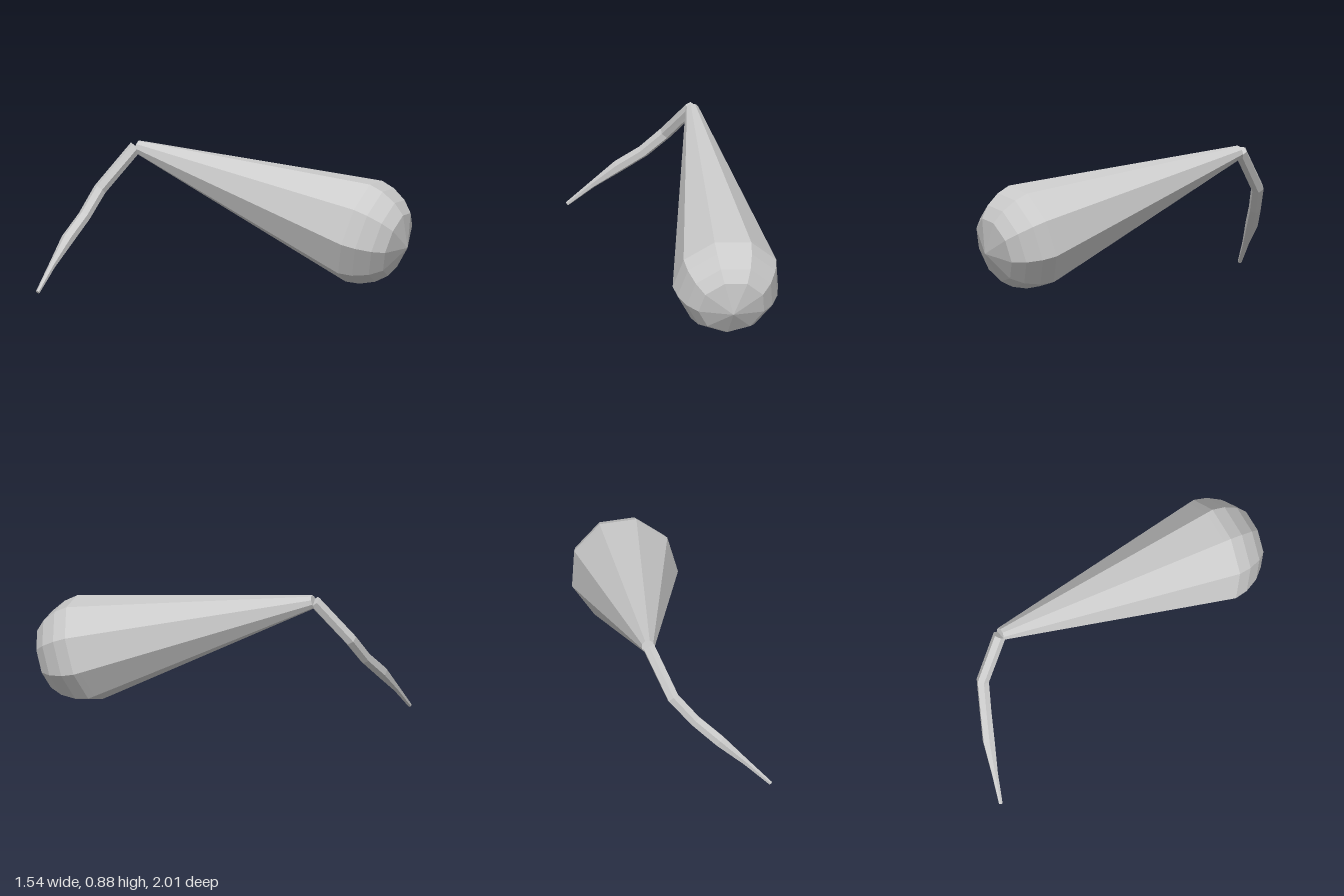
import * as THREE from 'three';

const material = new THREE.MeshStandardMaterial({ color: 0xcccccc, flatShading: true, side: THREE.DoubleSide });

// Nine-sided club: narrow tip widening to a domed end, laid along a slanted axis
function makeBulb() {
  const tip = new THREE.Vector3(0.06, 0.845, -0.77);
  const nose = new THREE.Vector3(0.53, 0.32, 1.0);
  const axis = nose.clone().sub(tip);
  const length = axis.length();
  axis.normalize();
  // [distance behind the nose, radius]
  const profile = [
    [length, 0], [length, 0.042], [0.73, 0.268], [0.37, 0.337], [0.325, 0.345],
    [0.235, 0.327], [0.14, 0.28], [0.07, 0.215], [0, 0],
  ].map(([d, r]) => new THREE.Vector2(r, length - d));
  const geometry = new THREE.LatheGeometry(profile, 9);
  const up = new THREE.Vector3(-0.26, 1, 0);
  up.addScaledVector(axis, -up.dot(axis)).normalize();
  const side = new THREE.Vector3().crossVectors(axis, up);
  geometry.applyMatrix4(new THREE.Matrix4().makeBasis(side, axis, up).setPosition(tip));
  const mesh = new THREE.Mesh(geometry, material);
  mesh.name = 'bulb';
  return mesh;
}

// Six-sided bent stalk, tapering to a point
function makeStalk() {
  const sides = 6;
  // [x, y, z, radius]
  const path = [
    [0.055, 0.845, -0.775, 0.042], [-0.125, 0.58, -0.928, 0.042], [-0.27, 0.43, -0.945, 0.04],
    [-0.43, 0.305, -0.962, 0.041], [-0.6, 0.16, -0.963, 0.022], [-0.757, 0.015, -0.961, 0.013],
  ];
  const points = path.map(([x, y, z]) => new THREE.Vector3(x, y, z));
  const positions = [];
  const indices = [];
  points.forEach((p, i) => {
    const tangent = new THREE.Vector3();
    if (i > 0) tangent.add(p.clone().sub(points[i - 1]).normalize());
    if (i < points.length - 1) tangent.add(points[i + 1].clone().sub(p).normalize());
    tangent.normalize();
    const n = new THREE.Vector3().crossVectors(new THREE.Vector3(0, 0, 1), tangent).normalize();
    const b = new THREE.Vector3().crossVectors(tangent, n);
    for (let k = 0; k < sides; k++) {
      const a = (k / sides) * Math.PI * 2;
      const v = p.clone().addScaledVector(n, Math.cos(a) * path[i][3]).addScaledVector(b, Math.sin(a) * path[i][3]);
      positions.push(v.x, v.y, v.z);
      if (i === 0) continue;
      const k2 = (k + 1) % sides;
      const lo = (i - 1) * sides;
      const hi = i * sides;
      indices.push(lo + k, lo + k2, hi + k2, lo + k, hi + k2, hi + k);
    }
  });
  // End caps
  const last = (points.length - 1) * sides;
  for (let k = 1; k < sides - 1; k++) {
    indices.push(0, k + 1, k, last, last + k, last + k + 1);
  }
  const geometry = new THREE.BufferGeometry();
  geometry.setAttribute('position', new THREE.Float32BufferAttribute(positions, 3));
  geometry.setIndex(indices);
  geometry.computeVertexNormals();
  const mesh = new THREE.Mesh(geometry, material);
  mesh.name = 'stalk';
  return mesh;
}

export function createModel() {
  const group = new THREE.Group();
  group.name = 'bulbOnStalk';
  group.add(makeBulb(), makeStalk());
  return group;
}
